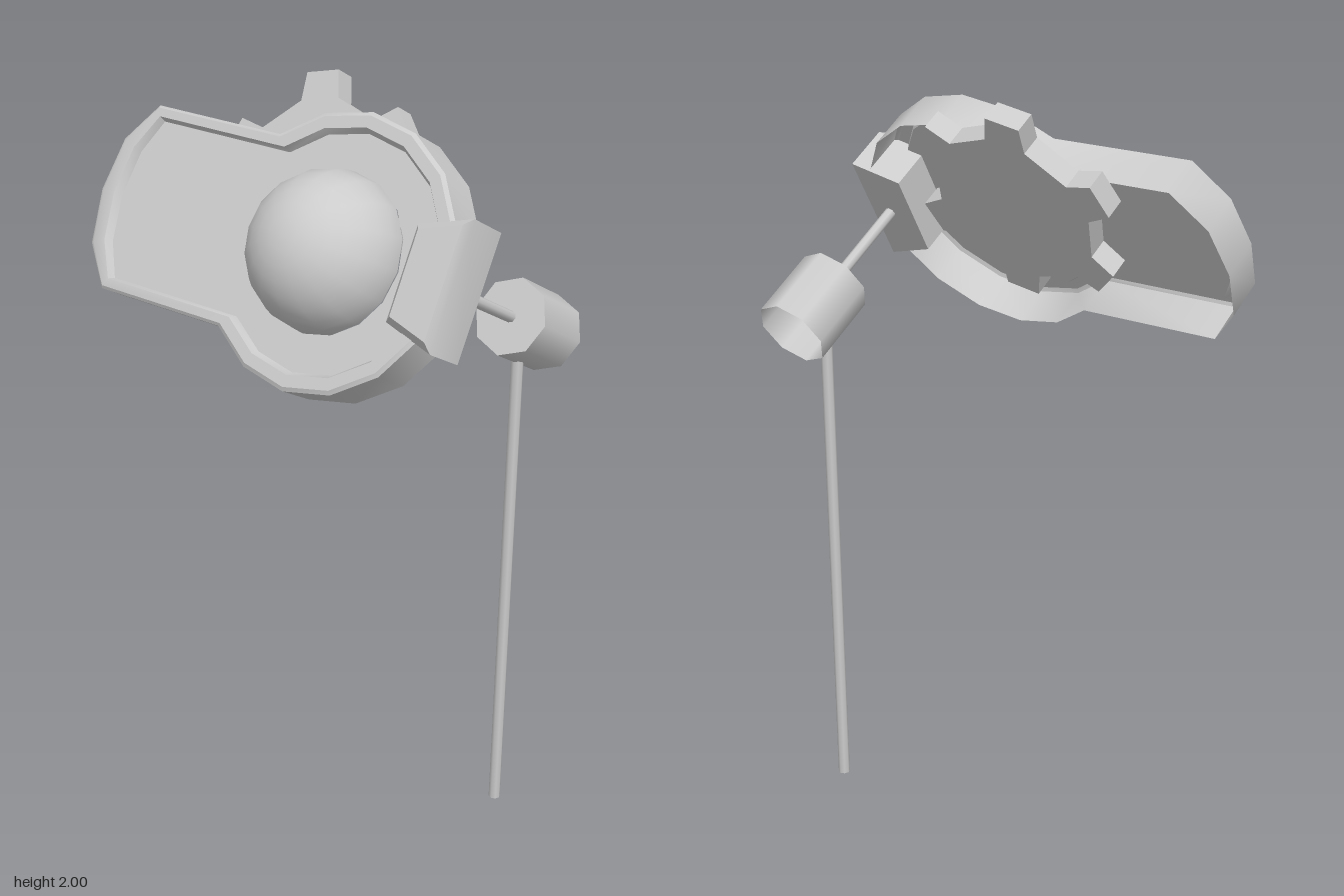
import * as THREE from 'three';
import { toCreasedNormals } from 'three/addons/utils/BufferGeometryUtils.js';

const grey = new THREE.MeshStandardMaterial({ color: 0xcccccc });
const thin = new THREE.MeshStandardMaterial({ color: 0xcccccc, side: THREE.DoubleSide });
const V = (x, y) => new THREE.Vector2(x, y);

function add(parent, name, geometry, material = grey) {
  const mesh = new THREE.Mesh(geometry, material);
  mesh.name = name;
  parent.add(mesh);
  return mesh;
}

// Skin between closed outlines (counter-clockwise), each given as [points, z], back to front
function loft(rings, capped) {
  const pos = [];
  const count = rings[0][0].length;
  const put = (r, i) => {
    const p = rings[r][0][i % count];
    pos.push(p.x, p.y, rings[r][1]);
  };
  for (let r = 0; r < rings.length - 1; r++) {
    for (let i = 0; i < count; i++) {
      put(r, i); put(r, i + 1); put(r + 1, i + 1);
      put(r, i); put(r + 1, i + 1); put(r + 1, i);
    }
  }
  if (capped) {
    const last = rings.length - 1;
    for (let i = 1; i < count - 1; i++) {
      put(last, 0); put(last, i); put(last, i + 1);
      put(0, 0); put(0, i + 1); put(0, i);
    }
  }
  const geo = new THREE.BufferGeometry();
  geo.setAttribute('position', new THREE.Float32BufferAttribute(pos, 3));
  return toCreasedNormals(geo, 0.6);
}

// Keyhole-like outline: 16-sided round end on the left, blunt end on the right; d = inset
function bodyOutline(d) {
  const pts = [];
  const R = 0.345 - d;
  for (let i = -6; i <= 6; i++) {
    const a = i * Math.PI / 8;
    pts.push(V(0.17 + R * Math.cos(a), R * Math.sin(a)));
  }
  const h = R * Math.SQRT1_2;
  pts.push(V(-0.47 + 0.4 * d, h), V(-0.55 + 1.1 * d, 0.14 - 0.4 * d), V(-0.572 + 1.2 * d, 0),
    V(-0.55 + 1.1 * d, -0.14 + 0.4 * d), V(-0.47 + 0.4 * d, -h));
  return pts;
}

// Six-toothed gear outline
function gearShape(cx, cy) {
  const pts = [];
  const deg = Math.PI / 180;
  for (let t = 0; t < 6; t++) {
    const mid = 104 + t * 60;
    for (const [r, off] of [[0.228, -14], [0.297, -9], [0.297, 9], [0.228, 14]]) {
      const a = (mid + off) * deg;
      pts.push(V(cx + r * Math.cos(a), cy + r * Math.sin(a)));
    }
  }
  return new THREE.Shape(pts);
}

export function createModel() {
  const model = new THREE.Group();
  model.name = 'sign';

  // Head, leaning back 30 degrees
  const head = new THREE.Group();
  head.name = 'head';
  head.position.set(0, 1.67, 0.185);
  head.rotation.x = -Math.PI / 6;
  model.add(head);

  // Shell: open at the back, small bevel, raised rim
  add(head, 'bodyShell', loft([
    [bodyOutline(0), -0.115],
    [bodyOutline(0), 0],
    [bodyOutline(0.01), 0.007],
    [bodyOutline(0.04), 0.007],
    [bodyOutline(0.05), -0.013],
  ], false), thin);

  // Recessed panel with an opening behind the dome
  const panel = new THREE.Shape(bodyOutline(0.05));
  const hole = [];
  for (let i = 0; i < 16; i++) {
    const a = -i * Math.PI / 8;
    hole.push(V(0.17 + 0.198 * Math.cos(a), 0.198 * Math.sin(a)));
  }
  panel.holes.push(new THREE.Path(hole));
  add(head, 'frontPanel', new THREE.ShapeGeometry(panel).translate(0, 0, -0.013), thin);

  // Dome
  const dome = new THREE.SphereGeometry(0.2, 16, 8, 0, Math.PI * 2, 0, Math.PI / 2);
  add(head, 'dome', dome.rotateX(Math.PI / 2).translate(0.17, 0, -0.006), thin);

  // Gear behind the shell
  const gear = new THREE.ExtrudeGeometry(gearShape(-0.027, 0.153), { depth: 0.06, bevelEnabled: false });
  add(head, 'gear', gear.translate(0, 0, -0.175));

  // Flared clip on the side of the round end
  const clip = (inner, outer, hi, ho) => [V(inner, -hi), V(outer, -ho), V(outer, ho), V(inner, hi)];
  add(head, 'sideClip', loft([
    [clip(0.39, 0.53, 0.118, 0.16), -0.125],
    [clip(0.39, 0.53, 0.118, 0.16), 0.005],
    [clip(0.41, 0.52, 0.105, 0.138), 0.03],
  ], true));

  // Arm and hinge barrel, along the head's axis; the barrel is hollow at the back
  const arm = new THREE.CylinderGeometry(0.015, 0.015, 0.3, 8, 1, true);
  add(head, 'arm', arm.rotateX(Math.PI / 2).translate(0.47, 0, -0.26), thin);
  const barrel = new THREE.CylinderGeometry(0.1, 0.1, 0.2, 8, 1, true);
  add(head, 'barrel', barrel.rotateX(Math.PI / 2).translate(0.47, 0, -0.493), thin);
  add(head, 'barrelCap', new THREE.CircleGeometry(0.1, 8).translate(0.47, 0, -0.393), thin);

  // Upright pole
  const pole = new THREE.CylinderGeometry(0.016, 0.016, 1.36, 8, 1, true);
  add(model, 'pole', pole.translate(0.47, 0.68, -0.198), thin);

  return model;
}
